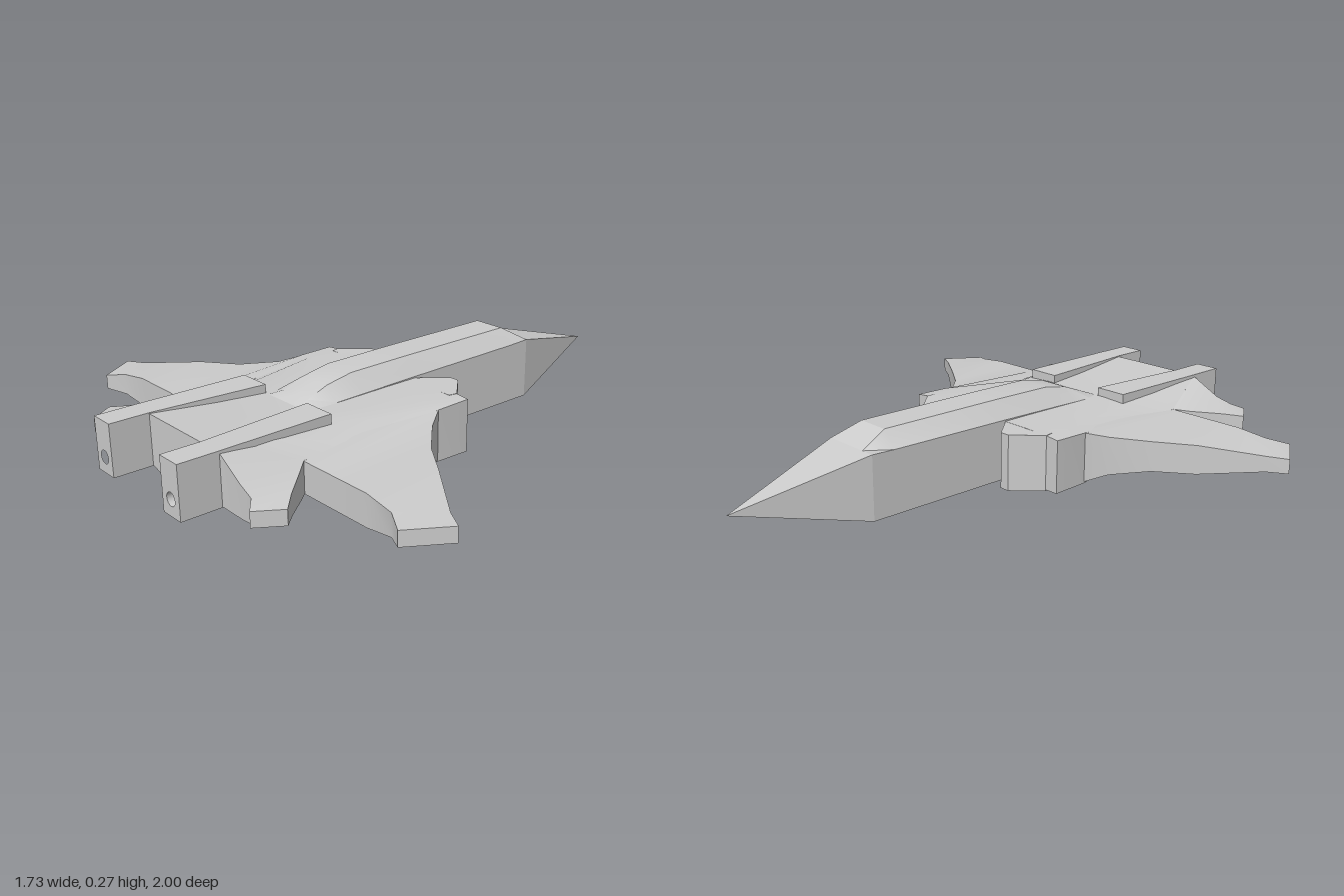
import * as THREE from 'three';
import { toCreasedNormals } from 'three/addons/utils/BufferGeometryUtils.js';

const material = new THREE.MeshStandardMaterial({ color: 0xcccccc });

function addMesh(group, name, geometry, crease = 0.45) {
  const mesh = new THREE.Mesh(toCreasedNormals(geometry, crease), material);
  mesh.name = name;
  group.add(mesh);
}

// Skin over closed rings of [x, y, z] corners, capped at both ends
function loft(rings) {
  const pos = [];
  const tri = (a, b, c) => pos.push(...a, ...b, ...c);
  const n = rings[0].length;
  for (let k = 0; k < rings.length - 1; k++) {
    const a = rings[k], b = rings[k + 1];
    for (let i = 0; i < n; i++) {
      const j = (i + 1) % n;
      tri(a[i], b[i], a[j]);
      tri(a[j], b[i], b[j]);
    }
  }
  const first = rings[0], last = rings[rings.length - 1];
  for (let i = 1; i < n - 1; i++) {
    tri(first[0], first[i], first[i + 1]);
    tri(last[0], last[i + 1], last[i]);
  }
  const g = new THREE.BufferGeometry();
  g.setAttribute('position', new THREE.Float32BufferAttribute(pos, 3));
  g.computeVertexNormals();
  return g;
}

// Symmetric section at z: half outline from top centre to bottom centre
function section(z, half) {
  const mirrored = half.slice(1, -1).reverse().map(([x, y]) => [-x, y]);
  return [...half, ...mirrored].map(([x, y]) => [x, y, z]);
}

// Wing rib: front [x, z, low, high], rear [x, z, low, high]
function rib([fx, fz, fl, fh], [rx, rz, rl, rh], side) {
  const ring = [[rx, rh, rz], [fx, fh, fz], [fx, fl, fz], [rx, rl, rz]];
  return side > 0 ? ring : ring.map(([x, y, z]) => [-x, y, z]).reverse();
}

// Plan outline of [x, z] corners raised from y0 to y1
function prism(plan, y0, y1, side) {
  const shape = new THREE.Shape(plan.map(([x, z]) => new THREE.Vector2(side * x, -z)));
  return new THREE.ExtrudeGeometry(shape, { depth: y1 - y0, bevelEnabled: false })
    .rotateX(-Math.PI / 2).translate(0, y0, 0);
}

export function createModel() {
  const model = new THREE.Group();

  // Pointed nose
  const noseBase = [[0, 0.22], [0.11, 0.22], [0.11, 0.11], [0.11, 0], [0, 0]];
  addMesh(model, 'nose', loft([
    section(-1, noseBase.map(() => [0, 0.11])),
    section(-0.555, noseBase),
  ]));

  // Long box fuselage with raised spine
  const spine = [[-0.555, 0.22, 0.22, 0], [-0.47, 0.272, 0.217, 0], [0, 0.272, 0.212, 0],
    [0.24, 0.27, 0.208, 0], [0.34, 0.252, 0.206, 0], [0.42, 0.222, 0.204, 0], [0.48, 0.2, 0.2, 0.03]];
  addMesh(model, 'fuselage', loft(spine.map(([z, top, shoulder, low]) =>
    section(z, [[0, top], [0.06, top], [0.11, shoulder], [0.11, low], [0, low]]))));

  // Broad centre body, tapering to the tail
  addMesh(model, 'centreBody', loft([
    section(0, [[0, 0.207], [0.2, 0.207], [0.3, 0.205], [0.355, 0.2], [0.355, 0.017], [0.2, 0.015], [0, 0.015]]),
    section(0.13, [[0, 0.207], [0.2, 0.207], [0.3, 0.205], [0.355, 0.198], [0.355, 0.02], [0.2, 0.015], [0, 0.015]]),
    section(0.42, [[0, 0.205], [0.14, 0.205], [0.24, 0.2], [0.33, 0.166], [0.33, 0.058], [0.22, 0.017], [0, 0.015]]),
    section(0.635, [[0, 0.215], [0.14, 0.215], [0.24, 0.21], [0.32, 0.166], [0.32, 0.06], [0.2, 0.03], [0, 0.015]]),
    section(0.865, [[0, 0.233], [0.14, 0.233], [0.2, 0.232], [0.23, 0.228], [0.23, 0.062], [0.14, 0.06], [0, 0.015]]),
  ]));

  const wingRibs = [
    [[0.3, 0.1, 0.02, 0.2], [0.3, 0.637, 0.06, 0.165]],
    [[0.354, 0.13, 0.025, 0.197], [0.35, 0.637, 0.06, 0.165]],
    [[0.4, 0.2, 0.045, 0.178], [0.4, 0.637, 0.06, 0.165]],
    [[0.5, 0.3, 0.06, 0.165], [0.5, 0.637, 0.06, 0.165]],
    [[0.62, 0.385, 0.062, 0.163], [0.6, 0.637, 0.06, 0.165]],
    [[0.8, 0.515, 0.088, 0.142], [0.71, 0.645, 0.078, 0.152]],
    [[0.865, 0.55, 0.09, 0.14], [0.777, 0.683, 0.09, 0.14]],
  ];
  const tailRibs = [
    [[0.21, 0.6, 0.05, 0.205], [0.21, 0.863, 0.062, 0.23]],
    [[0.32, 0.635, 0.06, 0.166], [0.24, 0.863, 0.062, 0.226]],
    [[0.36, 0.68, 0.065, 0.158], [0.34, 0.868, 0.065, 0.172]],
    [[0.44, 0.77, 0.08, 0.148], [0.4, 0.875, 0.075, 0.155]],
    [[0.494, 0.823, 0.09, 0.14], [0.437, 0.907, 0.09, 0.14]],
  ];

  for (const side of [1, -1]) {
    const label = side > 0 ? 'left' : 'right';
    addMesh(model, label + 'Wing', loft(wingRibs.map(([f, r]) => rib(f, r, side))));
    addMesh(model, label + 'Tailplane', loft(tailRibs.map(([f, r]) => rib(f, r, side))));

    // Wedge-shaped intake beside the fuselage
    addMesh(model, label + 'Intake', prism(
      [[0.1, 0.03], [0.11, 0], [0.185, -0.09], [0.22, -0.09], [0.305, 0], [0.3, 0.03]], 0.012, 0.206, side));

    // Tapered rail on the rear deck
    addMesh(model, label + 'Rail', prism(
      [[0.11, 0.46], [0.23, 0.46], [0.235, 0.867], [0.145, 0.867]], 0.1, 0.236, side));

    // Tail block with an exhaust hole
    const block = new THREE.Shape([[0.145, 0.06], [0.235, 0.06], [0.235, 0.236], [0.145, 0.236]]
      .map(([x, y]) => new THREE.Vector2(side * x, y)));
    block.holes.push(new THREE.Path().absarc(side * 0.19, 0.115, 0.022, 0, Math.PI * 2, true));
    addMesh(model, label + 'Exhaust', new THREE.ExtrudeGeometry(block,
      { depth: 0.14, bevelEnabled: false, curveSegments: 8 }).translate(0, 0, 0.86), 0.9);
  }
  return model;
}
